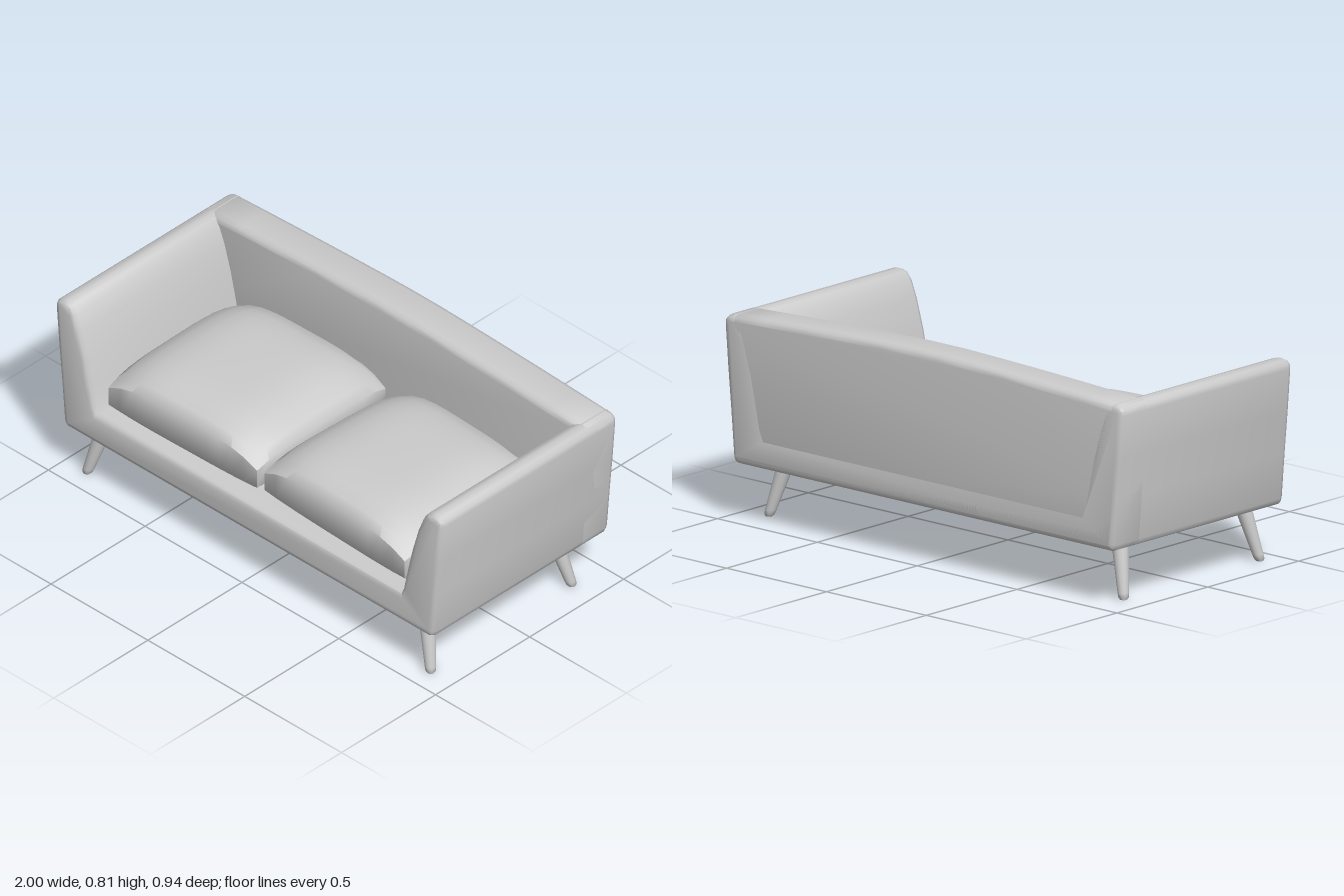
import * as THREE from 'three';
import { mergeVertices, toCreasedNormals } from 'three/addons/utils/BufferGeometryUtils.js';

const material = new THREE.MeshStandardMaterial({ color: 0xcccccc });

function addMesh(group, name, geometry) {
  const mesh = new THREE.Mesh(geometry, material);
  mesh.name = name;
  group.add(mesh);
  return mesh;
}

// Full outline from its right half, listed from the bottom centre round to the top centre
function mirroredShape(half) {
  const left = half.map(([x, y]) => [-x, y]).reverse();
  return new THREE.Shape([...half, ...left].map(([x, y]) => new THREE.Vector2(x, y)));
}

// Extrusion along z between two planes, with softened front and back edges
function paddedExtrude(shape, zBack, zFront, bevel) {
  const geometry = new THREE.ExtrudeGeometry(shape, {
    depth: zFront - zBack - 2 * bevel, steps: 1,
    bevelEnabled: true, bevelThickness: bevel, bevelSize: bevel, bevelOffset: -bevel, bevelSegments: 2,
  });
  geometry.translate(0, 0, zBack + bevel);
  return toCreasedNormals(geometry, 0.85);
}

// Flared outer side, shared by the frame and the backrest
const outerSide = [[0.932, 0.215], [0.948, 0.222], [0.955, 0.242], [0.97, 0.42], [0.985, 0.58], [0.998, 0.745], [0.995, 0.765]];

// Pillow with a crowned top and rounded rims, -1..1 across before scaling
function cushionGeometry(halfX, halfZ) {
  const geometry = new THREE.BoxGeometry(2, 2, 2, 12, 3, 12);
  geometry.deleteAttribute('uv');
  geometry.deleteAttribute('normal');
  const p = geometry.attributes.position;
  for (let i = 0; i < p.count; i++) {
    const u = p.getX(i), w = p.getZ(i);
    const layer = Math.round((p.getY(i) + 1) * 1.5);
    const crown = 0.23 - 0.06 * u ** 4 - 0.035 * w ** 4;
    const y = [0, 0.028, crown - 0.03, crown][layer];
    const inset = [0.025, 0, 0, 0.03][layer];
    // Rims pull in slightly toward the corners
    const cornerPull = 0.008;
    p.setXYZ(i,
      u * (halfX - inset - cornerPull * w ** 4), y,
      w * (halfZ - inset - cornerPull * u ** 4));
  }
  return toCreasedNormals(mergeVertices(geometry), 0.9);
}

// Tapered round leg, leaning from its top centre to its foot centre
function legGeometry(top, foot) {
  const height = 0.24;
  const profile = [[0, 0], [0.014, 0], [0.02, 0.008], [0.022, 0.025], [0.034, 0.215], [0.035, height], [0, height]];
  const geometry = new THREE.LatheGeometry(profile.map(([r, y]) => new THREE.Vector2(r, y)), 12);
  const p = geometry.attributes.position;
  for (let i = 0; i < p.count; i++) {
    const t = p.getY(i) / 0.215;
    p.setX(i, p.getX(i) + foot[0] + (top[0] - foot[0]) * t);
    p.setZ(i, p.getZ(i) + foot[1] + (top[1] - foot[1]) * t);
  }
  return toCreasedNormals(geometry, 0.9);
}

export function createModel() {
  const sofa = new THREE.Group();
  sofa.name = 'sofa';

  // Seat base and both arms in one U-shaped section
  const frame = mirroredShape([
    ...outerSide, [0.98, 0.778], [0.95, 0.783], [0.922, 0.775], [0.898, 0.745],
    [0.872, 0.68], [0.84, 0.57], [0.815, 0.46], [0.797, 0.375], [0.785, 0.345],
  ]);
  addMesh(sofa, 'baseAndArms', paddedExtrude(frame, -0.47, 0.47, 0.022));

  // Backrest with a gently arched top
  const arch = [0.975, 0.8, 0.6, 0.4, 0.2, 0.08].map((x) => [x, 0.78 + 0.036 * (1 - x ** 1.4)]);
  addMesh(sofa, 'backrest', paddedExtrude(mirroredShape([...outerSide, ...arch]), -0.47, -0.305, 0.024));

  // Two loose seat cushions, each turned a little
  for (const [name, x, z, turn] of [
    ['rightSeatCushion', -0.405, 0.056, 0.02],
    ['leftSeatCushion', 0.4, 0.056, -0.04],
  ]) {
    const cushion = addMesh(sofa, name, cushionGeometry(0.385, 0.357));
    cushion.position.set(x, 0.345, z);
    cushion.rotation.y = turn;
  }

  // Four splayed legs
  for (const [sideName, side] of [['Left', 1], ['Right', -1]]) {
    addMesh(sofa, 'front' + sideName + 'Leg', legGeometry([side * 0.833, 0.372], [side * 0.888, 0.41]));
    addMesh(sofa, 'rear' + sideName + 'Leg', legGeometry([side * 0.833, -0.3], [side * 0.888, -0.34]));
  }
  return sofa;
}
